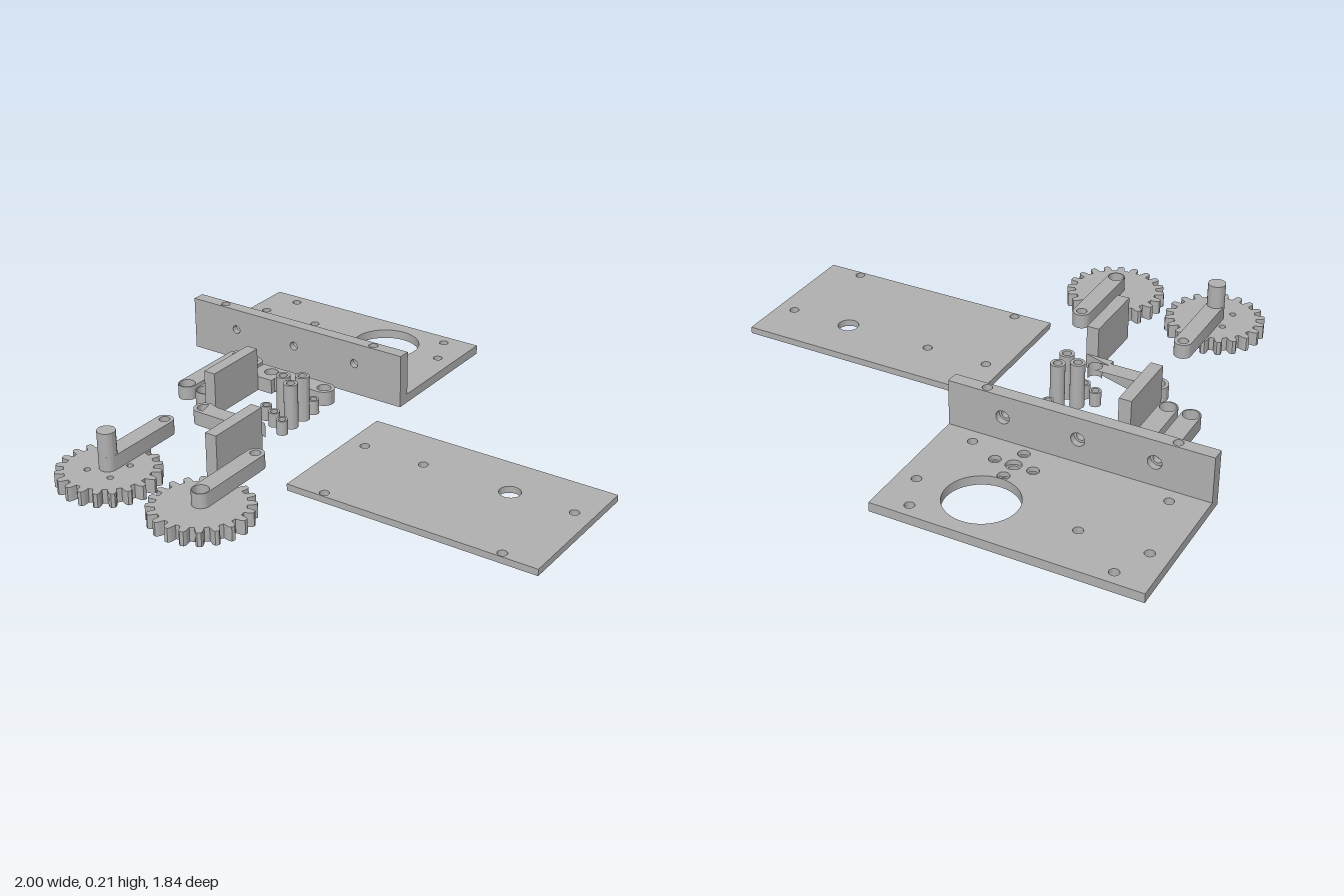
import * as THREE from 'three';
import { toCreasedNormals } from 'three/addons/utils/BufferGeometryUtils.js';

export function createModel() {
  const model = new THREE.Group();
  model.name = 'mechanismKit';
  const grey = new THREE.MeshStandardMaterial({ color: 0xb0b0b0 });
  grey.name = 'plainGrey';

  // Shapes are drawn in plan as (x, -z)
  const addHoles = (shape, holes) => {
    for (const [x, z, r] of holes) {
      const p = new THREE.Path();
      p.absarc(x, -z, r, 0, Math.PI * 2, true);
      shape.holes.push(p);
    }
    return shape;
  };
  const polygon = (pts) => new THREE.Shape(pts.map(([x, z]) => new THREE.Vector2(x, -z)));
  const rect = (x0, x1, z0, z1) => polygon([[x0, z1], [x1, z1], [x1, z0], [x0, z0]]);
  const disc = (x, z, r) => new THREE.Shape().absarc(x, -z, r, 0, Math.PI * 2, false);
  // Straight bar along z with round ends
  const bar = (x, z0, z1, r) => new THREE.Shape()
    .absarc(x, -z1, r, Math.PI, Math.PI * 2, false)
    .absarc(x, -z0, r, 0, Math.PI, false);

  const extrude = (shape, depth) => new THREE.ExtrudeGeometry(shape, { depth, bevelEnabled: false, curveSegments: 20 });
  const add = (name, geo, parent = model) => {
    const mesh = new THREE.Mesh(toCreasedNormals(geo, 0.6), grey);
    mesh.name = name;
    parent.add(mesh);
    return mesh;
  };
  const slab = (name, shape, y0, y1, holes = [], parent = model) =>
    add(name, extrude(addHoles(shape, holes), y1 - y0).rotateX(-Math.PI / 2).translate(0, y0, 0), parent);
  const group = (name) => {
    const g = new THREE.Group();
    g.name = name;
    model.add(g);
    return g;
  };

  // Base plate with motor opening and counterbored shaft holes
  const base = group('baseBracket');
  const screws = [[-0.872, -0.874], [-0.136, -0.874], [-0.93, -0.735], [-0.68, -0.735],
    [-0.08, -0.735], [-0.872, -0.452], [-0.136, -0.452]].map(([x, z]) => [x, z, 0.018]);
  const opening = [-0.327, -0.735, 0.134];
  const bores = [[-0.327, -0.582], [-0.401, -0.51], [-0.255, -0.51], [-0.327, -0.436]];
  [[0, 0.018, 0.014, 0.02], [0.018, 0.036, 0.022, 0.029]].forEach(([y0, y1, r, rc], i) =>
    slab(i ? 'basePlateTop' : 'basePlateBottom', rect(-1, -0.01, -0.925, -0.395), y0, y1,
      [...screws, opening, [-0.327, -0.51, rc], ...bores.map(([x, z]) => [x, z, r])], base));

  // Upright wall: narrow holes in front, counterbored at the back
  [[-0.395, 0.026], [-0.37, 0.017]].forEach(([z, r], i) => {
    const face = addHoles(rect(-1, -0.01, -0.165, 0), [-0.79, -0.508, -0.222].map((x) => [x, -0.128, r]));
    add(i ? 'wallFront' : 'wallBack', extrude(face, 0.025).translate(0, 0, z), base);
  });
  // Top of wall with blind screw holes
  slab('wallTop', rect(-1, -0.01, -0.395, -0.345), 0.165, 0.214,
    [[-0.86, -0.37, 0.018], [-0.15, -0.37, 0.018]], base);

  // Cover plate
  slab('coverPlate', rect(0.005, 1, -0.16, 0.415), 0, 0.026, [
    [0.077, 0.03, 0.018], [0.327, 0.03, 0.018], [0.68, 0.03, 0.04],
    [0.93, 0.03, 0.018], [0.15, 0.393, 0.018], [0.855, 0.393, 0.018]]);

  // Connecting links
  for (const [x, z0, z1] of [[-0.743, -0.278, 0.032], [-0.652, -0.27, 0.04]]) {
    slab('link', bar(x, z0, z1, 0.036), 0, 0.056, [[x, z0, 0.018], [x, z1, 0.031]]);
  }

  // Angled feet: a low arm with a round end and a tall blade, one turned about
  const foot = (cx, cz, turn) => {
    const g = group('footBracket');
    const arm = new THREE.Shape();
    arm.moveTo(-0.179, 0.041);
    arm.lineTo(-0.179, -0.063);
    arm.lineTo(-0.067, -0.063);
    arm.lineTo(-0.067, -0.041);
    arm.absarc(0.138, 0, 0.041, -Math.PI / 2, Math.PI / 2, false);
    slab('footArm', arm, 0, 0.058, [[0.138, 0, 0.027], [-0.112, 0, 0.027]], g);
    slab('footBlade', rect(-0.179, -0.131, 0.063, 0.33), 0, 0.176, [], g);
    g.position.set(cx, 0, cz);
    g.rotation.y = turn;
  };
  foot(-0.419, -0.226, 0);
  // The second foot keeps its blade towards the front, so it is mirrored
  const g2 = group('mirroredFootBracket');
  const arm2 = new THREE.Shape();
  arm2.moveTo(0.179, 0.041);
  arm2.absarc(-0.138, 0, 0.041, Math.PI / 2, Math.PI * 1.5, false);
  arm2.lineTo(0.067, -0.041);
  arm2.lineTo(0.067, -0.063);
  arm2.lineTo(0.179, -0.063);
  slab('footArm', arm2, 0, 0.058, [[-0.138, 0, 0.027], [0.112, 0, 0.027]], g2);
  slab('footBlade', rect(0.131, 0.179, 0.063, 0.33), 0, 0.176, [], g2);
  g2.position.set(-0.419, 0, 0.163);

  // Spacer tubes, three tall and four short
  for (const [x, z] of [[-0.265, -0.062], [-0.326, -0.025], [-0.264, 0.013]]) {
    slab('tallSpacer', disc(x, z, 0.027), 0, 0.18, [[x, z, 0.016]]);
  }
  for (const [x, z] of [[-0.26, 0.077], [-0.26, -0.125], [-0.38, 0.013], [-0.323, 0.041]]) {
    slab('shortSpacer', disc(x, z, 0.022), 0, 0.058, [[x, z, 0.014]]);
  }

  // Gear outline with round-tipped teeth
  const gearShape = (phase, teeth = 20) => {
    const pts = [];
    const tooth = [[-0.1, 0.158], [-0.083, 0.172], [-0.07, 0.183], [-0.035, 0.191],
      [0.035, 0.191], [0.07, 0.183], [0.083, 0.172], [0.1, 0.158]];
    for (let i = 0; i < teeth; i++) {
      const mid = ((i + phase) / teeth) * Math.PI * 2;
      for (const [a, r] of tooth) pts.push(new THREE.Vector2(Math.cos(mid + a) * r, Math.sin(mid + a) * r));
    }
    return new THREE.Shape(pts);
  };

  // Gear with a crank, a recessed underside and a drive pin
  const drive = group('driveGear');
  drive.position.set(-0.553, 0, 0.71);
  slab('gearRim', gearShape(0.5), 0, 0.03, [[0, 0, 0.114]], drive);
  const corners = [[-1, -1], [1, -1], [-1, 1], [1, 1]].map(([x, z]) => [x * 0.053, z * 0.053, 0.012]);
  slab('gearFace', gearShape(0.5), 0.03, 0.055, corners, drive);
  slab('gearHub', disc(0, 0, 0.036), 0, 0.03, [[0, 0, 0.015]], drive);
  slab('crankArm', bar(0, -0.312, 0, 0.034), 0.055, 0.112, [[0, -0.312, 0.02]], drive);
  slab('drivePin', disc(0, 0, 0.034), 0.112, 0.204, [], drive);

  // Gear with a crank and a through bore
  const driven = group('drivenGear');
  driven.position.set(-0.125, 0, 0.728);
  slab('gearBody', gearShape(0), 0, 0.055, [[0, 0, 0.03]], driven);
  slab('crankArm', bar(0, -0.308, 0, 0.034), 0.055, 0.112, [[0, -0.308, 0.02], [0, 0, 0.03]], driven);

  return model;
}
